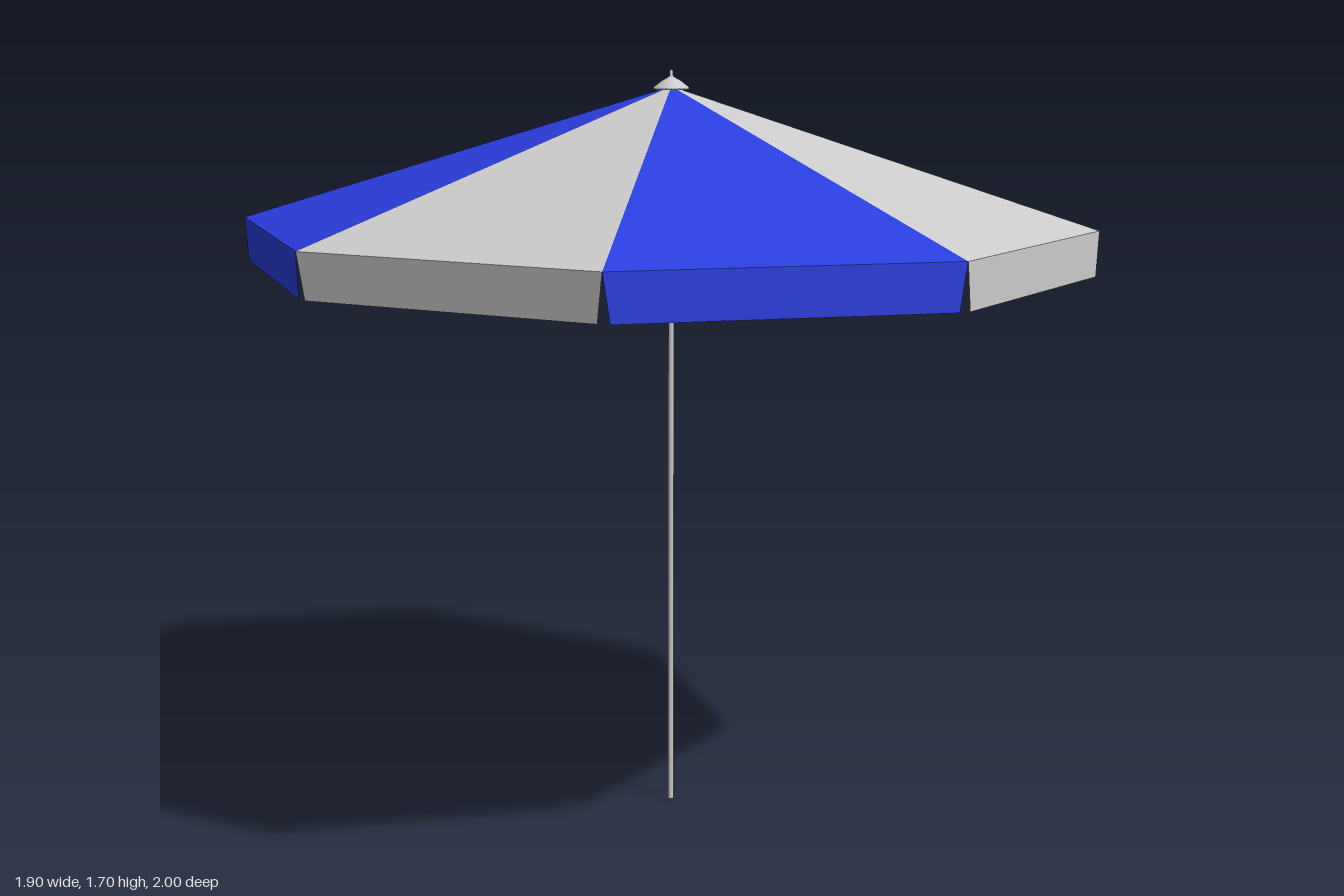
import * as THREE from 'three';

const CZ = 0.047, RADIUS = 0.95, RIM_Y = 1.35, HEM_Y = 1.25, PEAK_Y = 1.66;

// Rim corner k of the octagon; the three rear corners sit slightly further back
function corner(k) {
  const a = (k % 8) * Math.PI / 4;
  const z = Math.cos(a) * RADIUS - (Math.cos(a) < -0.1 ? 0.096 : 0);
  return new THREE.Vector3(Math.sin(a) * RADIUS, RIM_Y, CZ + z);
}

function faceGeometry(points, index) {
  const g = new THREE.BufferGeometry().setFromPoints(points);
  g.setIndex(index);
  g.computeVertexNormals();
  return g;
}

export function createModel() {
  const group = new THREE.Group();
  const grey = new THREE.MeshStandardMaterial({ color: 0xcccccc });
  const cloth = [0xcccccc, 0x2a3fe0].map(
    (color) => new THREE.MeshStandardMaterial({ color, side: THREE.DoubleSide }));

  function add(name, geometry, material, y = 0) {
    const mesh = new THREE.Mesh(geometry, material);
    mesh.name = name;
    mesh.position.y = y;
    group.add(mesh);
    return mesh;
  }

  const peak = new THREE.Vector3(0, PEAK_Y, CZ);
  for (let k = 0; k < 8; k++) {
    const a = corner(k), b = corner(k + 1);
    const material = cloth[k % 2];

    // Sloping canopy panel
    add('canopyPanel' + k, faceGeometry([peak, a, b], [0, 1, 2]), material);

    // Hanging valance flap, narrower at the hem, side flaps flaring slightly
    const along = b.clone().sub(a).normalize();
    const out = new THREE.Vector3(-along.z, 0, along.x).multiplyScalar(-1);
    const flare = [1, 2, 5, 6].includes(k) ? 0.006 : 0;
    const hem = (p, inset) => {
      const q = p.clone().addScaledVector(along, inset).addScaledVector(out, flare);
      q.y = HEM_Y;
      return q;
    };
    add('valance' + k,
      faceGeometry([a, b, hem(b, -0.015), hem(a, 0.015)], [0, 3, 2, 0, 2, 1]), material);
  }

  // Pole
  add('pole', new THREE.CylinderGeometry(0.0065, 0.0065, PEAK_Y, 16), grey, PEAK_Y / 2).position.z = CZ;

  // Top cap with a small finial
  const profile = [[0, 1.653], [0.04, 1.653], [0.04, 1.658], [0.022, 1.672], [0.006, 1.681],
    [0.004, 1.684], [0.004, 1.695], [0, 1.697]].map(([x, y]) => new THREE.Vector2(x, y));
  add('topCap', new THREE.LatheGeometry(profile, 24), grey).position.z = CZ;

  return group;
}
